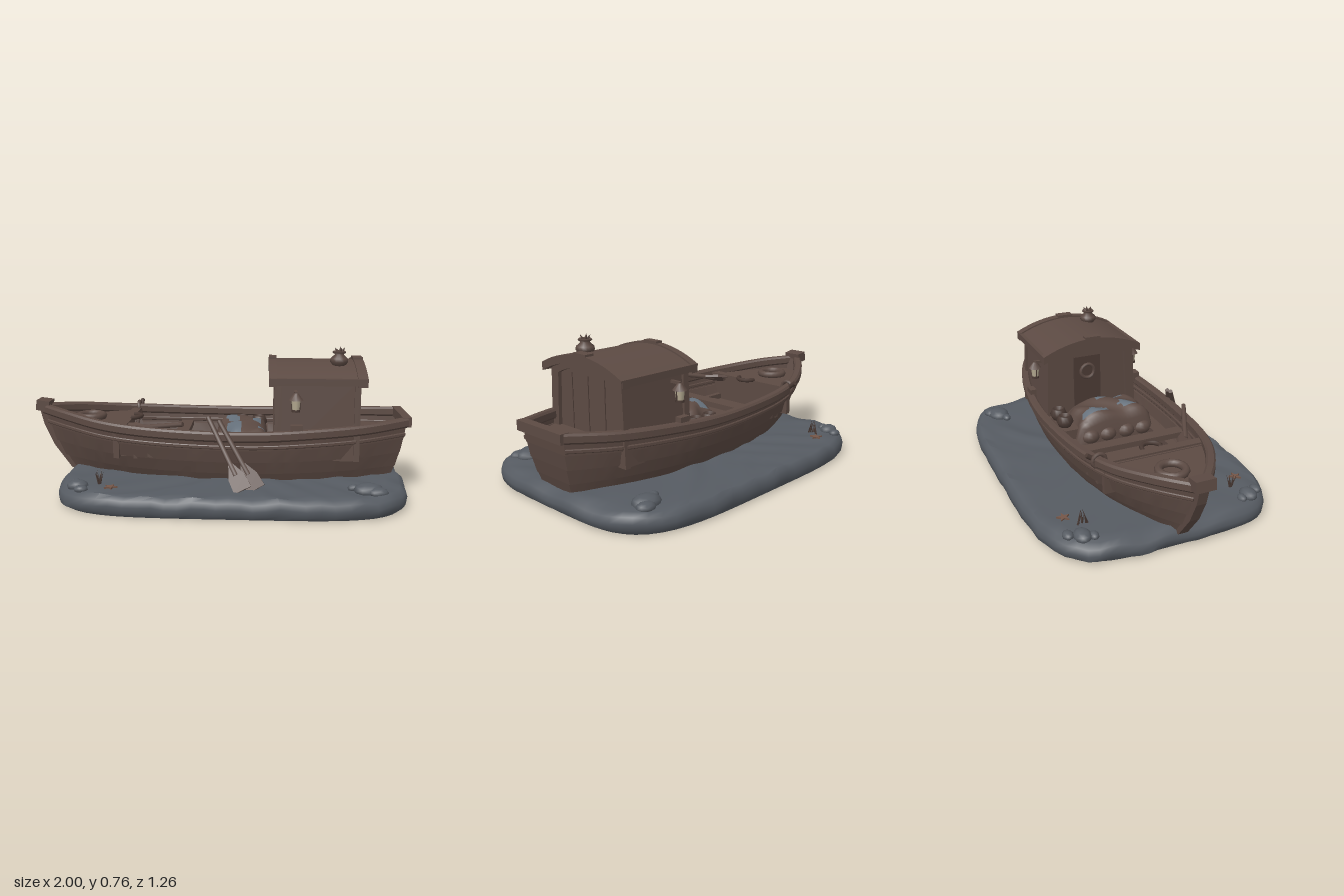
import * as THREE from 'three';
import { toCreasedNormals } from 'three/addons/utils/BufferGeometryUtils.js';

const V = (x, y, z) => new THREE.Vector3(x, y, z);
const mat = (name, color) => new THREE.MeshStandardMaterial({ name, color, side: THREE.DoubleSide });

// Skin a grid of points, rows of equal length
function loft(rows, crease = 0.6, keep = () => true) {
  const n = rows[0].length, idx = [];
  for (let i = 0; i < rows.length - 1; i++) for (let j = 0; j < n - 1; j++) {
    if (!keep(i, j)) continue;
    const a = i * n + j, b = a + n;
    idx.push(a, b, a + 1, b, b + 1, a + 1);
  }
  const g = new THREE.BufferGeometry();
  g.setAttribute('position', new THREE.Float32BufferAttribute(rows.flat().flatMap(p => [p.x, p.y, p.z]), 3));
  g.setIndex(idx);
  return toCreasedNormals(g, crease);
}

// Rectangular bar swept along a mostly level path
function rail(pts, w, h) {
  const rows = pts.map((p, i) => {
    const t = pts[Math.min(i + 1, pts.length - 1)].clone().sub(pts[Math.max(i - 1, 0)]);
    const s = V(t.z, 0, -t.x).normalize().multiplyScalar(w / 2), c = 0.6;
    return [[-1, -c], [-1, c], [-c, 1], [c, 1], [1, c], [1, -c], [c, -1], [-c, -1], [-1, -c]]
      .map(([a, b]) => p.clone().addScaledVector(s, a).add(V(0, b * h / 2, 0)));
  });
  const end = r => r.map(() => r.reduce((m, q) => m.add(q), V(0, 0, 0)).multiplyScalar(1 / r.length));
  return loft([end(rows[0]), ...rows, end(rows[rows.length - 1])]);
}

export function createModel() {
  const root = new THREE.Group();
  const wood = mat('wood', 0x5c4a43), dark = mat('dark wood', 0x4b3b35), stone = mat('wet stone', 0x565b62);
  const glass = mat('lantern glass', 0xb8ad94), patch = mat('cloth patch', 0x66717c), shell = mat('starfish', 0x755648);
  const add = (name, geo, m, x = 0, y = 0, z = 0, parent = root) => {
    const o = new THREE.Mesh(geo, m);
    o.name = name; o.position.set(x, y, z); parent.add(o);
    return o;
  };
  const box = (name, w, h, d, x, y, z, m = wood, parent = root) => add(name, new THREE.BoxGeometry(w, h, d), m, x, y, z, parent);

  // Shore base: rounded slab with an uneven top
  const rings = [[0, 0], [0.97, 0], [0.995, 0.02], [1, 0.05], [0.99, 0.08], [0.96, 0.1], [0.88, 0.1], [0.75, 0.1], [0.6, 0.1], [0.4, 0.1], [0, 0.1]];
  add('base', loft(rings.map(([s, y], k) => Array.from({ length: 97 }, (_, i) => {
    const a = (i % 96) / 96 * Math.PI * 2, c = Math.cos(a), d = Math.sin(a);
    const r = s / Math.pow(Math.abs(c) ** 4.5 + Math.abs(d) ** 4.5, 1 / 4.5);
    const x = 0.075 + 0.893 * r * c, z = 0.632 * r * d;
    const n = k > 1 ? 0.005 * (Math.sin(x * 17 + 2) * Math.cos(z * 19) + Math.sin(x * 31 - z * 23)) : 0;
    return V(x + (k > 1 && k < 6 ? n * 0.5 : 0), y + n, z);
  })), 0.9), stone);
  for (const s of [1, -1]) {
    const stones = [[-0.68, 0.45, 0.055, 0.03], [-0.65, 0.51, 0.035, 0.02], [0.75, 0.44, 0.075, 0.035], [0.79, 0.48, 0.05, 0.025], [-0.7, 0.4, 0.03, 0.02], [0.68, 0.41, 0.03, 0.02]];
    for (const [x, z, r, h] of stones)
      add('stone', new THREE.IcosahedronGeometry(1, 1), stone, x, 0.105, s * z).scale.set(r, h, r * 0.8);
    // Grass tuft
    for (let i = 0; i < 6; i++) {
      const b = add('grass', new THREE.ConeGeometry(0.006, 0.06 + 0.012 * (i % 3), 4), dark, -0.58 + 0.012 * Math.cos(i), 0.135, s * (0.41 + 0.015 * Math.sin(i)));
      b.rotation.set(0.3 * Math.sin(i), 0, -0.3 * Math.cos(i));
    }
    // Starfish
    const star = new THREE.Shape(Array.from({ length: 10 }, (_, i) => {
      const a = i * Math.PI / 5, r = i % 2 ? 0.014 : 0.035;
      return new THREE.Vector2(r * Math.cos(a), r * Math.sin(a));
    }));
    add('starfish', new THREE.ExtrudeGeometry(star, { depth: 0.009, bevelEnabled: false }), shell, -0.51, 0.105, s * 0.48).rotation.x = -Math.PI / 2;
  }

  // Hull lines: sheer and keel edge, [x, y, half width]
  const line = a => new THREE.CatmullRomCurve3(a.map(p => V(...p)), false, 'centripetal');
  const sheer = line([[-0.955, 0.4, 0.02], [-0.8, 0.385, 0.14], [-0.6, 0.36, 0.25], [-0.4, 0.345, 0.31], [-0.1, 0.333, 0.345], [0.2, 0.33, 0.35], [0.45, 0.34, 0.325], [0.74, 0.355, 0.255], [0.97, 0.375, 0.15]]);
  const keel = line([[-0.8, 0.07, 0.01], [-0.7, 0.07, 0.06], [-0.55, 0.07, 0.13], [-0.37, 0.07, 0.19], [-0.1, 0.07, 0.24], [0.2, 0.07, 0.25], [0.42, 0.07, 0.235], [0.67, 0.07, 0.18], [0.9, 0.07, 0.1]]);
  const hull = (u, v, s, out = 0) => {
    const f = v * (1.6 - 0.6 * v), a = keel.getPoint(u), b = sheer.getPoint(u);
    return V(a.x + (b.x - a.x) * f, a.y + (b.y - a.y) * v, s * (a.z + (b.z - a.z) * f + out));
  };
  const N = 40, steps = Array.from({ length: N + 1 }, (_, i) => i / N);
  const strakes = [0, 1, 2, 3].flatMap(k => [[k / 4, 0.008], [(k + 1) / 4, 0]]);
  for (const s of [1, -1]) {
    add('hullSide', loft(strakes.map(([v, o]) => steps.map(u => hull(u, v, s, o))).sort(() => 0).slice()[s > 0 ? 'reverse' : 'slice'](), 0.5), wood);
    add('gunwale', rail(steps.map(u => hull(u, 1, s).add(V(0, 0.008, 0))), 0.045, 0.05), wood);
    add('rubbingStrake', rail(steps.map(u => hull(u, 0.82, s, 0.006)), 0.014, 0.02), wood);
  }
  add('transom', loft(strakes.map(([v, o]) => [hull(1, v, -1, o), hull(1, v, 1, o)]), 0.3), wood);
  box('transomRail', 0.045, 0.05, 0.33, 0.973, 0.384, 0);

  // Decks and floor fitted between the hull sides
  const deck = (name, u0, u1, y, m = wood) => add(name, loft([-1, 1].map(s => Array.from({ length: 21 }, (_, i) => {
    const u = u0 + (u1 - u0) * i / 20;
    const p = hull(u, (y - 0.07) / (sheer.getPoint(u).y - 0.07), s);
    p.y = y;
    return p;
  })).reverse()), m);
  deck('floor', 0.06, 0.99, 0.2);
  deck('bowDeck', 0.01, 0.3, 0.352);
  deck('sternDeck', 0.82, 0.995, 0.31);
  box('bowBulkhead', 0.03, 0.155, 0.55, -0.52, 0.278, 0);
  box('bowBeam', 0.05, 0.03, 0.58, -0.5, 0.35, 0);
  box('thwart', 0.07, 0.03, 0.62, -0.21, 0.27, 0);
  box('forwardThwart', 0.05, 0.025, 0.58, -0.33, 0.225, 0);
  for (const x of [-0.42, -0.14, -0.08]) box('floorRib', 0.02, 0.02, 0.54, x, 0.21, 0);
  for (const s of [1, -1]) {
    box('sideStringer', 0.5, 0.03, 0.03, -0.25, 0.22, s * 0.23);
    box('cleat', 0.06, 0.05, 0.035, 0.4, 0.372, s * 0.325);
  }
  const bend = new THREE.TorusGeometry(0.05, 0.012, 6, 12, Math.PI);
  const loop = add('ropeLoop', bend, dark, -0.48, 0.37, 0);
  loop.rotation.set(Math.PI / 2, 0, -Math.PI / 2);
  add('ropeCoil', new THREE.TorusGeometry(0.065, 0.02, 8, 20), wood, -0.71, 0.366, -0.01).rotation.x = Math.PI / 2;

  // Stem post
  const stem = new THREE.Shape([[-0.99, 0.42], [-0.965, 0.32], [-0.915, 0.21], [-0.82, 0.08], [-0.76, 0.08], [-0.86, 0.23], [-0.91, 0.34], [-0.93, 0.42]].map(p => new THREE.Vector2(...p)));
  add('stemPost', new THREE.ExtrudeGeometry(stem, { depth: 0.05, bevelEnabled: false }), wood, 0, 0, -0.025);
  box('stemHead', 0.07, 0.055, 0.1, -0.965, 0.428, 0).rotation.z = -0.12;

  // Cabin: profiles drawn across the boat, extruded along it
  const cabin = new THREE.Group();
  cabin.name = 'cabin'; root.add(cabin);
  const arch = (half, y0, rise) => Array.from({ length: 17 }, (_, i) => {
    const t = i / 8 - 1;
    return new THREE.Vector2(half * t, y0 + rise * (1 - t * t));
  });
  const across = (name, pts, x0, x1, m = wood, hole) => {
    const sh = new THREE.Shape(pts);
    if (hole) sh.holes.push(new THREE.Path(hole));
    const g = new THREE.ExtrudeGeometry(sh, { depth: x1 - x0, bevelEnabled: false });
    g.rotateY(Math.PI / 2);
    return add(name, toCreasedNormals(g, 0.5), m, x0, 0, 0, cabin);
  };
  const wall = (b, t, y0, y1, rise) => [new THREE.Vector2(b, y0), ...arch(t, y1, rise).reverse(), new THREE.Vector2(-b, y0)];
  across('cabinBody', wall(0.262, 0.245, 0.2, 0.6, 0.06), 0.315, 0.7);
  for (const [x0, x1] of [[0.29, 0.325], [0.69, 0.72]])
    across('cabinFrame', wall(0.275, 0.257, 0.2, 0.6, 0.065), x0, x1, wood, wall(0.222, 0.205, 0.24, 0.58, 0.05));
  for (const z of [-0.12, 0, 0.12]) box('wallSeam', 0.004, 0.36, 0.005, 0.7, 0.41, z, dark, cabin);
  box('door', 0.012, 0.36, 0.16, 0.31, 0.4, -0.02, dark, cabin);
  add('doorWindow', new THREE.TorusGeometry(0.04, 0.01, 6, 16), wood, 0.302, 0.49, -0.02, cabin).rotation.y = Math.PI / 2;
  const band = (h, y, t) => [...arch(h, y, 0.072), ...arch(h, y - t, 0.072).reverse()];
  across('roof', band(0.287, 0.617, 0.025), 0.27, 0.745);
  for (const [x0, x1] of [[0.26, 0.3], [0.7, 0.75]]) {
    across('roofRib', band(0.292, 0.624, 0.042), x0, x1);
    box('ridgeCap', x1 - x0, 0.03, 0.09, (x0 + x1) / 2, 0.69, 0, wood, cabin);
  }
  for (const s of [1, -1]) box('eave', 0.48, 0.035, 0.03, 0.505, 0.607, s * 0.278, wood, cabin);
  const turned = (pts, n = 14) => new THREE.LatheGeometry(pts.map(p => new THREE.Vector2(...p)), n);

  // Chimney pot with a ragged tuft
  add('chimneyPot', turned([[0, 0], [0.03, 0], [0.047, 0.022], [0.044, 0.04], [0.022, 0.06], [0.036, 0.07], [0.03, 0.078], [0, 0.07]]), wood, 0.62, 0.668, 0.115);
  for (let i = 0; i < 5; i++) {
    const a = i * 1.257, c = add('potTuft', new THREE.ConeGeometry(0.013, 0.04, 4), wood, 0.62 + 0.017 * Math.cos(a), 0.748, 0.115 + 0.017 * Math.sin(a));
    c.rotation.set(0.6 * Math.sin(a), 0, -0.6 * Math.cos(a));
  }

  // Lanterns on both cabin walls
  for (const s of [1, -1]) {
    const l = new THREE.Group();
    l.name = 'lantern'; l.position.set(0.395, 0.46, s * 0.302); root.add(l);
    add('lanternGlass', new THREE.CylinderGeometry(0.024, 0.018, 0.05, 8), glass, 0, 0.035, 0, l);
    add('lanternFoot', new THREE.CylinderGeometry(0.022, 0.022, 0.012, 8), dark, 0, 0.006, 0, l);
    add('lanternHat', new THREE.CylinderGeometry(0.01, 0.037, 0.035, 8), wood, 0, 0.077, 0, l);
    box('lanternBracket', 0.014, 0.014, 0.06, 0, 0.094, -s * 0.025, wood, l);
    for (const x of [-0.022, 0.022]) box('lanternBar', 0.005, 0.05, 0.005, x, 0.037, 0, dark, l);
  }

  // Covered cargo with cloth patches
  const M = 20, cargo = [];
  for (let i = 0; i <= M; i++) cargo.push(Array.from({ length: M + 1 }, (_, j) => {
    const a = i / M * 2 - 1, b = j / M * 2 - 1, e = Math.max(0, (1 - a ** 6) * (1 - b ** 6));
    return V(0.12 + 0.145 * b, 0.2 + (0.155 + 0.012 * Math.sin(a * 6 + b * 4)) * Math.sqrt(e), 0.025 + a * (0.22 + 0.012 * Math.sin(b * 7)));
  }));
  const spots = [[6, 6, 3], [15, 7, 3.2], [9, 15, 2], [14, 17, 1.8], [3, 5, 1.6]];
  const spotted = (i, j) => spots.some(([a, b, r]) => Math.hypot(i - a, (j - b) * 1.2) < r);
  add('cargoCover', loft(cargo, 0.9, (i, j) => !spotted(i, j)), wood);
  add('coverPatches', loft(cargo, 0.9, spotted), patch);
  box('potCrate', 0.22, 0.07, 0.12, 0.15, 0.235, -0.235);
  for (const x of [0.11, 0.21]) add('pot', turned([[0, -0.04], [0.03, -0.035], [0.048, 0], [0.035, 0.03], [0.028, 0.035], [0.022, 0.02], [0, 0.015]]), dark, x, 0.3, -0.235);
  for (const z of [-0.13, -0.03, 0.08, 0.18]) add('sack', new THREE.SphereGeometry(0.045, 12, 8), wood, -0.005, 0.235, z).scale.set(0.9, 0.9, 1.15);

  // Oars: from handle end to blade tip
  const oar = (a, b, roll, m) => {
    const g = new THREE.Group(), d = a.clone().sub(b), L = d.length();
    g.name = 'oar'; g.position.copy(b); g.quaternion.setFromUnitVectors(V(0, 1, 0), d.normalize());
    g.rotateY(roll); root.add(g);
    add('oarShaft', new THREE.CylinderGeometry(0.012, 0.014, L - 0.08, 8), m, 0, (L + 0.08) / 2, 0, g);
    const blade = new THREE.Shape([[-0.045, 0], [0.045, 0], [0.042, 0.07], [0.012, 0.14], [-0.012, 0.14], [-0.042, 0.07]].map(p => new THREE.Vector2(...p)));
    add('oarBlade', new THREE.ExtrudeGeometry(blade, { depth: 0.014, bevelEnabled: false }), m, 0, 0, -0.007, g);
  };
  oar(V(-0.04, 0.435, 0.335), V(0.14, 0.11, 0.5), 0, wood);
  oar(V(0.015, 0.42, 0.345), V(0.205, 0.11, 0.475), 0, wood);
  oar(V(-0.165, 0.4, 0.35), V(-0.5, 0.335, 0.18), Math.PI / 2, wood);
  oar(V(-0.48, 0.4, -0.345), V(-0.49, 0.23, -0.12), 0, dark);
  add('gunwaleLashing', new THREE.TorusGeometry(0.034, 0.011, 6, 12), wood, -0.49, 0.365, -0.285).rotation.y = Math.PI / 2;
  return root;
}
